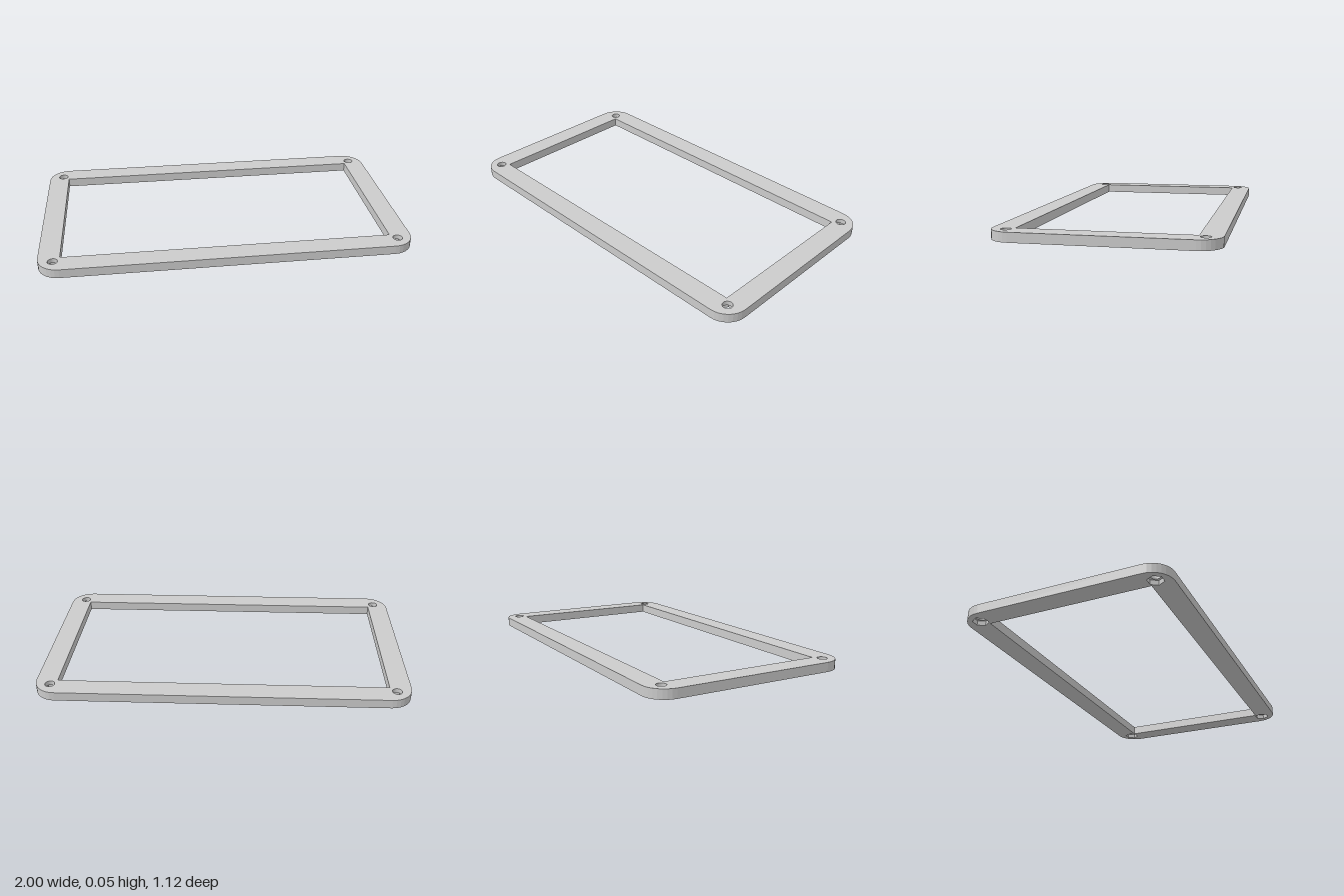
import * as THREE from 'three';
import { mergeGeometries } from 'three/addons/utils/BufferGeometryUtils.js';

const HEIGHT = 0.05, SEAT = 0.025;        // frame thickness, nut pocket depth
const HALF_X = 1, HALF_Z = 0.558, CORNER = 0.116;
const IN_X = 0.885, IN_Z = 0.442;         // half size of the opening
const HOLE_X = 0.92, HOLE_Z = 0.477, HOLE_R = 0.026, NUT_R = 0.042;

// Regular polygon, counter-clockwise seen from above
function polygon(cx, cy, r, sides) {
  return Array.from({ length: sides }, (_, i) => {
    const a = (i / sides) * Math.PI * 2;
    return new THREE.Vector2(cx + r * Math.cos(a), cy + r * Math.sin(a));
  });
}

function roundedRect(hx, hy, r, steps) {
  const points = [];
  [[1, 1], [-1, 1], [-1, -1], [1, -1]].forEach(([sx, sy], quarter) => {
    for (let i = 0; i <= steps; i++) {
      const a = (quarter + i / steps) * Math.PI / 2;
      points.push(new THREE.Vector2(sx * (hx - r) + r * Math.cos(a), sy * (hy - r) + r * Math.sin(a)));
    }
  });
  return points;
}

// Flat horizontal face with holes, facing up or down
function face(outline, holes, y, up) {
  const shape = new THREE.Shape(outline);
  shape.holes = holes.map((h) => new THREE.Path(h));
  const geo = new THREE.ShapeGeometry(shape).toNonIndexed();
  geo.deleteAttribute('uv');
  return geo.rotateX(up ? -Math.PI / 2 : Math.PI / 2).translate(0, y, 0);
}

// Vertical flat-shaded wall along a closed loop; inward walls line a hole
function wall(loop, y0, y1, inward = false) {
  const pts = inward ? [...loop].reverse() : loop;
  const pos = [];
  pts.forEach((a, i) => {
    const b = pts[(i + 1) % pts.length];
    pos.push(a.x, y0, -a.y, b.x, y0, -b.y, b.x, y1, -b.y);
    pos.push(a.x, y0, -a.y, b.x, y1, -b.y, a.x, y1, -a.y);
  });
  const geo = new THREE.BufferGeometry();
  geo.setAttribute('position', new THREE.Float32BufferAttribute(pos, 3));
  geo.computeVertexNormals();
  return geo;
}

export function createModel() {
  const group = new THREE.Group();
  group.name = 'mountingFrame';
  const material = new THREE.MeshStandardMaterial({ color: 0xcccccc });
  const add = (name, parts) => {
    const mesh = new THREE.Mesh(mergeGeometries(parts), material);
    mesh.name = name;
    group.add(mesh);
  };

  const outer = roundedRect(HALF_X, HALF_Z, CORNER, 8);
  const opening = [[1, 1], [-1, 1], [-1, -1], [1, -1]].map(([x, y]) => new THREE.Vector2(x * IN_X, y * IN_Z));
  const centres = [[1, 1], [-1, 1], [-1, -1], [1, -1]].map(([x, y]) => [x * HOLE_X, y * HOLE_Z]);
  const bores = centres.map(([x, y]) => polygon(x, y, HOLE_R, 32));
  const pockets = centres.map(([x, y]) => polygon(x, y, NUT_R, 6));

  // Rectangular frame with rounded outer corners
  add('frame', [
    face(outer, [opening, ...bores], HEIGHT, true),
    face(outer, [opening, ...pockets], 0, false),
    wall(outer, 0, HEIGHT),
    wall(opening, 0, HEIGHT, true),
  ]);

  // Screw holes opening into hexagonal nut pockets on the underside
  centres.forEach(([x, y], i) => {
    const seatHex = polygon(x, -y, NUT_R, 6), seatBore = polygon(x, -y, HOLE_R, 32);
    add(`screwHole${i + 1}`, [
      wall(bores[i], SEAT, HEIGHT, true),
      wall(pockets[i], 0, SEAT, true),
      face(seatHex, [seatBore], SEAT, false),
    ]);
  });
  return group;
}
